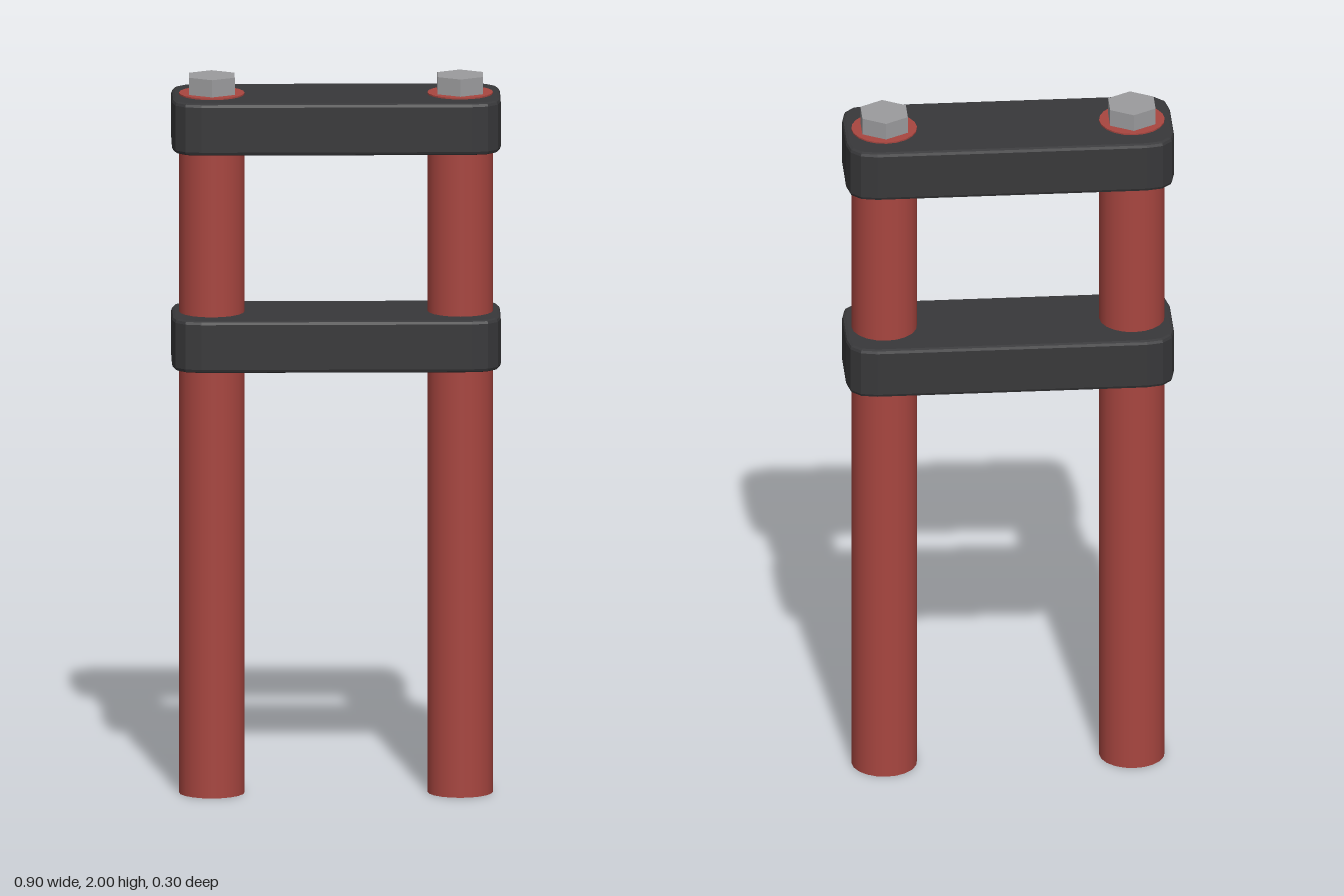
import * as THREE from 'three';

const red = new THREE.MeshStandardMaterial({ color: 0xa84640 });
const black = new THREE.MeshStandardMaterial({ color: 0x38383a });
const steel = new THREE.MeshStandardMaterial({ color: 0x9c9c9e, flatShading: true });

function addMesh(parent, name, geometry, material, x, y) {
  const mesh = new THREE.Mesh(geometry, material);
  mesh.name = name;
  mesh.position.set(x, y, 0);
  parent.add(mesh);
}

// Clamp plate with rounded corners and a small bevel, standing on y = 0
function plateGeometry(w, d, h, r, bevel) {
  const x = w / 2, y = d / 2;
  const s = new THREE.Shape();
  s.moveTo(-x + r, -y);
  s.lineTo(x - r, -y);
  s.quadraticCurveTo(x, -y, x, -y + r);
  s.lineTo(x, y - r);
  s.quadraticCurveTo(x, y, x - r, y);
  s.lineTo(-x + r, y);
  s.quadraticCurveTo(-x, y, -x, y - r);
  s.lineTo(-x, -y + r);
  s.quadraticCurveTo(-x, -y, -x + r, -y);
  const geo = new THREE.ExtrudeGeometry(s, {
    depth: h - 2 * bevel, curveSegments: 3, bevelEnabled: true, bevelSegments: 2,
    bevelSize: bevel, bevelThickness: bevel, bevelOffset: -bevel,
  });
  return geo.translate(0, 0, bevel).rotateX(-Math.PI / 2);
}

export function createModel() {
  const model = new THREE.Group();
  model.name = 'forkAssembly';

  // Two horizontal clamps
  const plate = plateGeometry(0.9, 0.3, 0.145, 0.08, 0.01);
  addMesh(model, 'lowerClamp', plate, black, 0, 1.197);
  addMesh(model, 'upperClamp', plate, black, 0, 1.803);

  // Tubes just proud of the upper clamp, each with a hexagonal cap bolt
  const tubeHeight = 1.952;
  const tube = new THREE.CylinderGeometry(0.09, 0.09, tubeHeight, 20);
  const bolt = new THREE.CylinderGeometry(0.072, 0.072, 0.06, 6);
  for (const [side, x] of [['left', 0.34], ['right', -0.34]]) {
    addMesh(model, side + 'Tube', tube, red, x, tubeHeight / 2);
    addMesh(model, side + 'Bolt', bolt, steel, x, 1.97);
  }
  return model;
}
